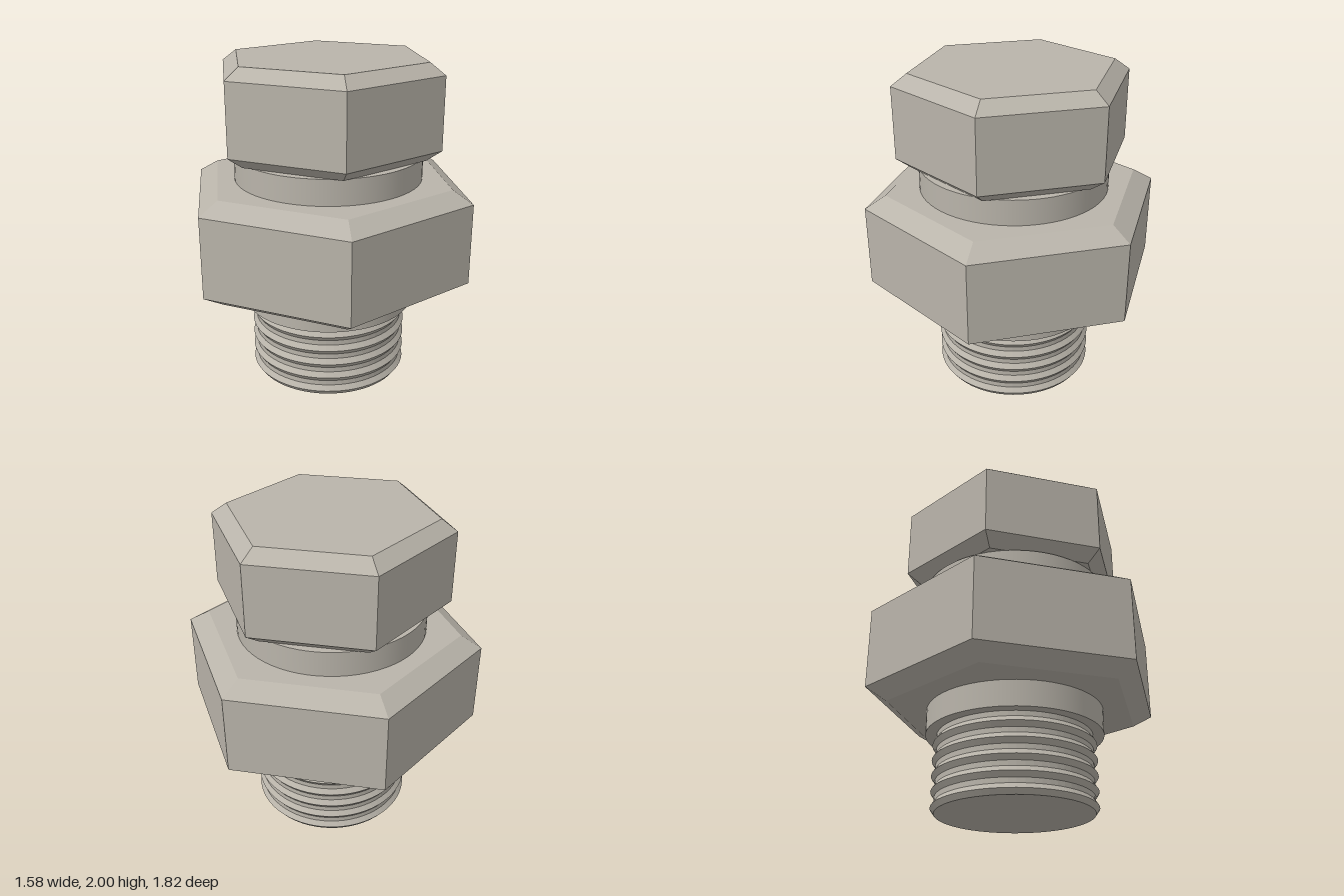
import * as THREE from 'three';

export function createModel() {
  const model = new THREE.Group();
  const steel = new THREE.MeshStandardMaterial({ color: 0xb9b4aa });
  const flatSteel = steel;

  const add = (name, geometry) => {
    const mesh = new THREE.Mesh(geometry, flatSteel);
    mesh.name = name;
    model.add(mesh);
  };

  // Revolve a [radius, y] profile; each band gets its own points so ring edges stay sharp
  const revolve = (profile, sides, smooth) => {
    const points = profile.map(([r, y]) => new THREE.Vector2(r, y));
    const lathe = new THREE.LatheGeometry(points, sides);
    if (smooth) return lathe;
    const flat = lathe.toNonIndexed();
    flat.computeVertexNormals();
    return flat;
  };

  // Hexagonal block with chamfered rims, corners pointing along z
  const hexBlock = (name, radius, rimRadius, bottom, top, chamfer) =>
    add(name, revolve([
      [0, bottom], [rimRadius, bottom], [radius, bottom + chamfer],
      [radius, top - chamfer], [rimRadius, top], [0, top],
    ], 6, false));

  // Round collar
  const collar = (name, radius, bottom, top) => {
    const geometry = new THREE.CylinderGeometry(radius, radius, top - bottom, 64);
    geometry.translate(0, (bottom + top) / 2, 0);
    add(name, geometry);
  };

  hexBlock('capHead', 0.707, 0.613, 1.43, 2, 0.068);
  collar('upperCollar', 0.575, 1.27, 1.428);
  hexBlock('bodyHex', 0.91, 0.783, 0.622, 1.272, 0.075);
  collar('lowerCollar', 0.535, 0.467, 0.622);

  // Threaded end: stacked ridges, starting and ending at the floor and collar
  const pitch = 0.0934, rootRadius = 0.468, crestRadius = 0.49;
  const thread = [[0, 0], [rootRadius, 0]];
  for (let i = 0; i < 5; i++) {
    const y = i * pitch;
    thread.push([crestRadius, y + pitch / 3], [rootRadius, y + pitch * 2 / 3], [rootRadius, y + pitch]);
  }
  add('thread', revolve(thread, 64, false));

  return model;
}
